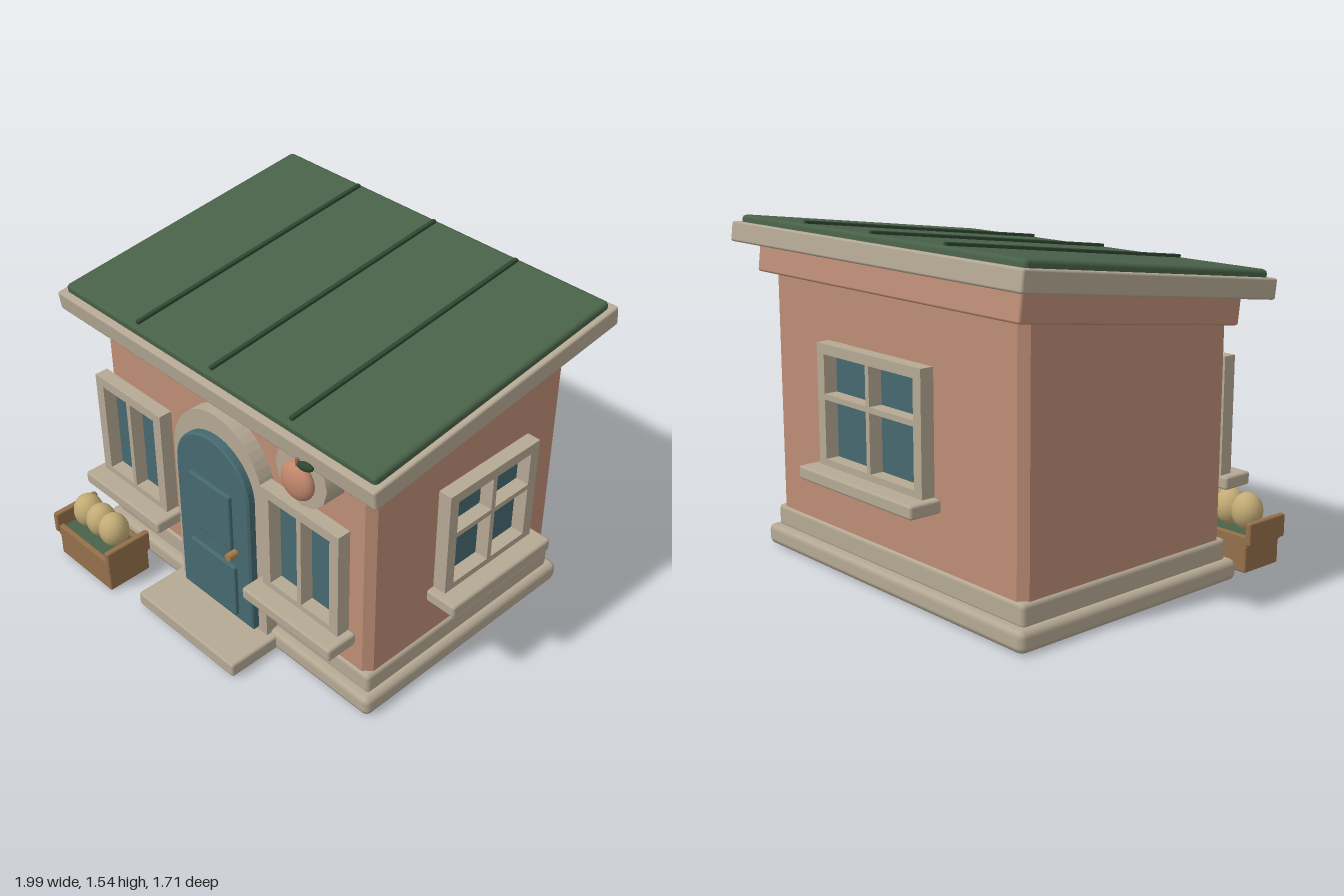
import * as THREE from 'three';
import { RoundedBoxGeometry } from 'three/addons/geometries/RoundedBoxGeometry.js';

const mat = (name, color) => {
  const m = new THREE.MeshStandardMaterial({ color });
  m.name = name;
  return m;
};

export function createModel() {
  const wall = mat('terracotta wall', 0xbd8d76);
  const stone = mat('cream stone', 0xb5a994);
  const green = mat('roof green', 0x496249);
  const darkGreen = mat('dark green', 0x2f4632);
  const teal = mat('teal', 0x45696f);
  const wood = mat('wood', 0x94704a);
  const gourd = mat('pale yellow', 0xc2ab75);
  const fruitColor = mat('fruit', 0xc2876c);
  const brass = mat('brass', 0xa87c48);

  const model = new THREE.Group();
  const CX = -0.03; // centre line of the house
  const CZ = -0.08;
  const SLOPE = 0.127;

  const add = (parent, name, geo, material, x = 0, y = 0, z = 0) => {
    const m = new THREE.Mesh(geo, material);
    m.name = name;
    m.position.set(x, y, z);
    parent.add(m);
    return m;
  };
  // Bevelled box given by its limits
  const box = (parent, name, material, x0, x1, y0, y1, z0, z1, r = 0.01) =>
    add(parent, name, new RoundedBoxGeometry(x1 - x0, y1 - y0, z1 - z0, 1, r), material,
      (x0 + x1) / 2, (y0 + y1) / 2, (z0 + z1) / 2);
  const rect = (S, x0, x1, y0, y1) => {
    const s = new S();
    s.moveTo(x0, y0); s.lineTo(x1, y0); s.lineTo(x1, y1); s.lineTo(x0, y1); s.closePath();
    return s;
  };
  const extrude = (shape, depth, opts = {}) =>
    new THREE.ExtrudeGeometry(shape, { depth, bevelEnabled: false, curveSegments: 12, ...opts });

  // Plinth
  box(model, 'lowerPlinth', stone, -0.91, 0.85, 0, 0.097, -0.71, 0.55, 0.03);
  box(model, 'upperPlinth', stone, -0.875, 0.815, 0.085, 0.19, -0.67, 0.51, 0.02);

  // Walls: chamfered plan, top vertices lifted to the roof slope
  const hx = 0.83, hz = 0.578, c = 0.035;
  const plan = new THREE.Shape([
    [-hx + c, -hz], [hx - c, -hz], [hx, -hz + c], [hx, hz - c],
    [hx - c, hz], [-hx + c, hz], [-hx, hz - c], [-hx, -hz + c],
  ].map(([x, y]) => new THREE.Vector2(x, y)));
  const wallGeo = extrude(plan, 1);
  wallGeo.rotateX(-Math.PI / 2);
  const p = wallGeo.attributes.position;
  for (let i = 0; i < p.count; i++) {
    p.setY(i, p.getY(i) > 0.5 ? 1.25 - SLOPE * p.getZ(i) : 0.12);
  }
  wallGeo.computeVertexNormals();
  add(model, 'walls', wallGeo, wall, CX, 0, CZ);

  // Sloping roof with cornice, hollow fascia frame, sheet and seams
  const roof = new THREE.Group();
  roof.name = 'roof';
  roof.position.set(CX, 1.364, CZ);
  roof.rotation.x = Math.atan(SLOPE);
  model.add(roof);
  box(roof, 'cornice', wall, -0.87, 0.87, -0.165, 0.01, -0.622, 0.612, 0.01);
  const RX = 0.966, RZ = 0.713, T = 0.045;
  for (const s of [-1, 1]) {
    const x = s * (RX - T / 2), z = s * (RZ - T / 2);
    box(roof, 'sideFascia', stone, x - T / 2, x + T / 2, -0.045, 0.045, -RZ, RZ, 0.01);
    box(roof, 'endFascia', stone, -RX, RX, -0.045, 0.045, z - T / 2, z + T / 2, 0.01);
  }
  box(roof, 'roofSheet', green, -0.94, 0.94, 0.0, 0.078, -0.683, 0.68, 0.018);
  for (const x of [-0.468, 0, 0.468]) {
    box(roof, 'roofSeam', darkGreen, x - 0.01, x + 0.01, 0.06, 0.092, -0.665, 0.655, 0.004);
  }

  // Window facing local +z: frame with pane holes, glass behind, sill below
  const windowAt = (name, x, z, turn, half, y0, y1, rows, sillY) => {
    const g = new THREE.Group();
    g.name = name;
    g.position.set(x, 0, z);
    g.rotation.y = turn;
    model.add(g);
    const frame = rect(THREE.Shape, -half, half, y0, y1);
    for (const [a, b] of rows) {
      frame.holes.push(rect(THREE.Path, -half + 0.05, -0.012, a, b));
      frame.holes.push(rect(THREE.Path, 0.012, half - 0.05, a, b));
    }
    add(g, 'windowFrame', extrude(frame, 0.064), stone, 0, 0, 0.008);
    add(g, 'windowGlass', new THREE.BoxGeometry(2 * half - 0.06, y1 - y0 - 0.05, 0.009), teal,
      0, (y0 + y1) / 2, 0.004);
    box(g, 'windowSill', stone, -half - 0.038, half + 0.038, sillY, sillY + 0.06, 0.002, 0.158, 0.012);
  };
  for (const x of [-0.575, 0.51]) {
    windowAt('frontWindow', x, 0.541, 0, 0.225, 0.44, 0.97, [[0.475, 0.925]], 0.385);
  }
  windowAt('sideWindow', 0.838, -0.105, Math.PI / 2, 0.272, 0.5, 1.018,
    [[0.54, 0.785], [0.81, 0.97]], 0.45);
  windowAt('backWindow', -0.035, -0.695, Math.PI, 0.352, 0.5, 1.04,
    [[0.54, 0.8], [0.825, 0.995]], 0.45);

  // Arched doorway
  const arch = (half, bottom, spring, rise) => {
    const s = new THREE.Shape();
    s.moveTo(-half, bottom);
    s.lineTo(half, bottom);
    s.lineTo(half, spring);
    s.absellipse(0, spring, half, rise, 0, Math.PI, false);
    s.closePath();
    return s;
  };
  add(model, 'doorSurround', extrude(arch(0.284, 0.08, 0.82, 0.308), 0.09), stone, CX, 0, 0.48);
  add(model, 'door', extrude(arch(0.222, 0.11, 0.8, 0.22), 0.04, {
    bevelEnabled: true, bevelSize: 0.01, bevelThickness: 0.008, bevelSegments: 1,
  }), teal, CX, 0, 0.56);
  box(model, 'upperDoorPanel', teal, -0.163, 0.098, 0.505, 0.795, 0.595, 0.625, 0.008);
  box(model, 'lowerDoorPanel', teal, -0.18, 0.115, 0.135, 0.415, 0.595, 0.625, 0.008);
  const knob = add(model, 'doorKnob', new THREE.CylinderGeometry(0.018, 0.018, 0.05, 10), brass, 0.112, 0.497, 0.632);
  knob.rotation.x = Math.PI / 2;
  box(model, 'doorStep', stone, -0.355, 0.29, 0.01, 0.08, 0.5, 0.805, 0.012);

  // Round wall sign with a fruit
  const sign = new THREE.Group();
  sign.name = 'fruitSign';
  sign.position.set(0.523, 1.152, 0);
  model.add(sign);
  const disc = add(sign, 'signDisc', new THREE.CylinderGeometry(0.143, 0.143, 0.11, 12), stone, 0, 0, 0.553);
  disc.rotation.x = Math.PI / 2;
  add(sign, 'fruit', new THREE.SphereGeometry(0.086, 20, 14), fruitColor, 0, -0.012, 0.625).scale.z = 0.5;
  add(sign, 'fruitStem', new THREE.CylinderGeometry(0.008, 0.01, 0.05, 8), wood, 0.005, 0.078, 0.63);
  const leaf = add(sign, 'fruitLeaf', new THREE.SphereGeometry(0.046, 14, 10), darkGreen, 0.05, 0.088, 0.632);
  leaf.scale.set(1, 0.45, 0.35);
  leaf.rotation.z = 0.25;

  // Crate of gourds
  const crate = new THREE.Group();
  crate.name = 'crate';
  model.add(crate);
  box(crate, 'crateBody', wood, -0.895, -0.515, 0.005, 0.135, 0.62, 0.845, 0.008);
  for (const z of [0.62, 0.82]) {
    box(crate, 'crateLongBoard', wood, -0.9, -0.51, 0.115, 0.172, z, z + 0.027, 0.006);
  }
  for (const x of [-0.92, -0.53]) {
    box(crate, 'crateEndBoard', wood, x, x + 0.03, 0.132, 0.238, 0.615, 0.855, 0.008);
  }
  box(crate, 'crateFilling', green, -0.89, -0.52, 0.12, 0.16, 0.64, 0.825, 0.005);
  for (const x of [-0.808, -0.71, -0.615]) {
    add(crate, 'gourd', new THREE.SphereGeometry(0.071, 16, 12), gourd, x, 0.25, 0.728).scale.y = 1.2;
  }
  return model;
}
